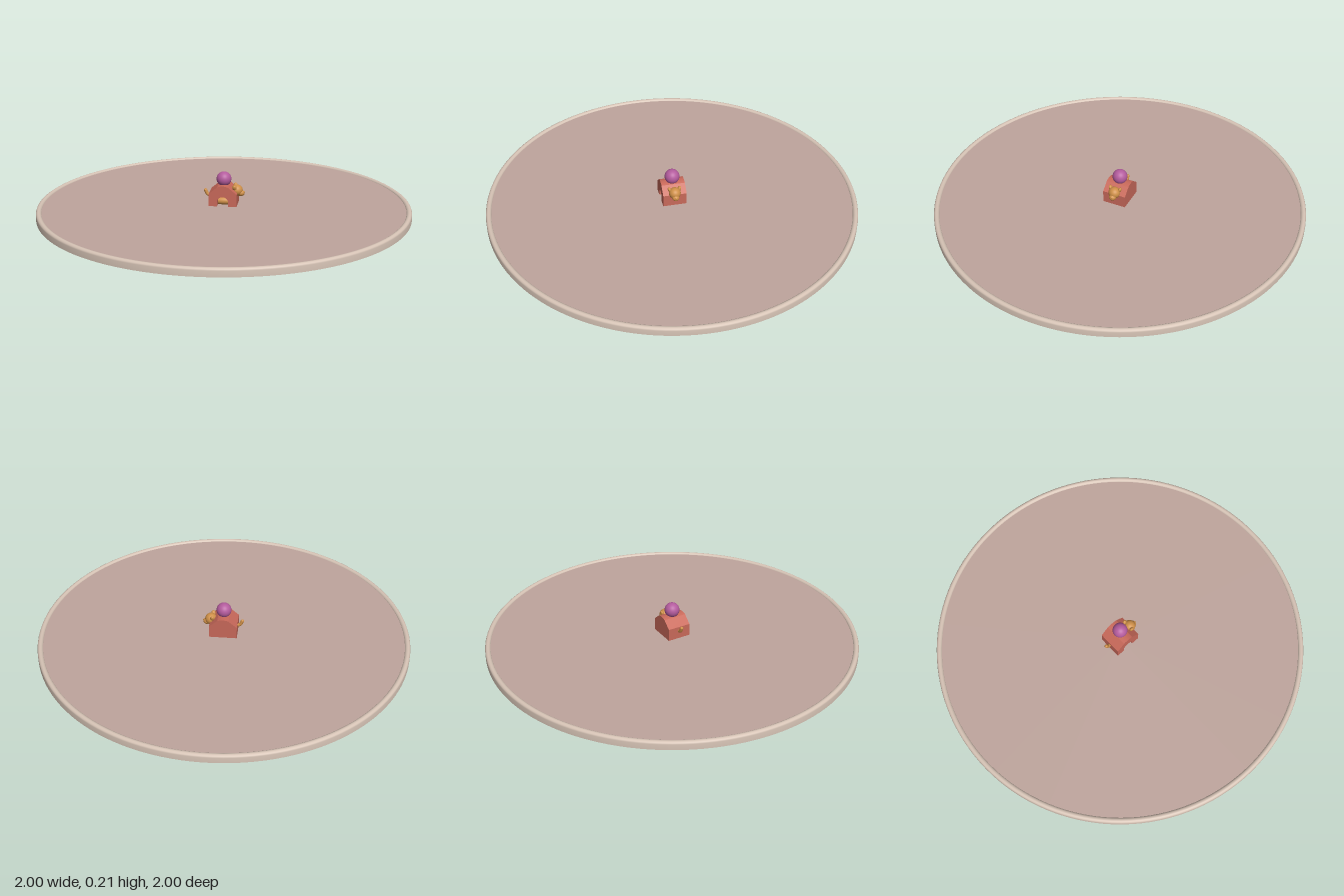
import * as THREE from 'three';

const FLOOR = 0.033;
const mat = (color, opts = {}) => {
  const m = new THREE.MeshStandardMaterial({ color });
  return Object.assign(m, opts);
};

function add(parent, name, geometry, material, pos = [0, 0, 0]) {
  const mesh = new THREE.Mesh(geometry, material);
  mesh.name = name;
  mesh.position.set(...pos);
  parent.add(mesh);
  return mesh;
}

// Ellipsoid with the given half sizes
const blob = (rx, ry, rz) => new THREE.SphereGeometry(1, 28, 18).scale(rx, ry, rz);

// Gabled outline with a softened ridge; optionally with an arched doorway
function houseShape(withDoor) {
  const s = new THREE.Shape();
  s.moveTo(-0.075, FLOOR);
  if (withDoor) {
    s.lineTo(-0.03, FLOOR);
    s.lineTo(-0.03, 0.055);
    s.absarc(0, 0.055, 0.03, Math.PI, 0, true);
    s.lineTo(0.03, FLOOR);
  }
  s.lineTo(0.075, FLOOR);
  s.lineTo(0.075, 0.1);
  s.lineTo(0.03, 0.138);
  s.quadraticCurveTo(0, 0.15, -0.03, 0.138);
  s.lineTo(-0.075, 0.1);
  s.closePath();
  return s;
}

function slab(shape, depth, z) {
  const g = new THREE.ExtrudeGeometry(shape, { depth, bevelEnabled: false, curveSegments: 16 });
  return g.translate(0, 0, z);
}

export function createModel() {
  const model = new THREE.Group();
  const rimMat = mat(0xd6c3b5);
  const floorMat = mat(0xbfa59d);
  const houseMat = mat(0xc9695a);
  const furMat = mat(0xcf9048);
  const ballMat = mat(0xb45c9e);

  // Round base with a raised, rounded rim
  const rim = [
    [0.97, 0], [1, 0], [1, 0], [1, 0.03], [0.997, 0.037], [0.991, 0.041],
    [0.985, 0.042], [0.979, 0.041], [0.973, 0.037], [0.97, 0.031], [0.97, 0.02],
  ].map(([x, y]) => new THREE.Vector2(x, y));
  add(model, 'rim', new THREE.LatheGeometry(rim, 128), rimMat);
  add(model, 'floor', new THREE.CylinderGeometry(0.972, 0.972, FLOOR, 128), floorMat, [0, FLOOR / 2, 0]);

  // Small house: tunnel with an arched doorway, closed by a back wall
  const house = new THREE.Group();
  house.name = 'house';
  model.add(house);
  add(house, 'houseShell', slab(houseShape(true), 0.113, -0.049), houseMat);
  add(house, 'backWall', slab(houseShape(false), 0.015, -0.064), houseMat);

  // Animal lying through the house, head on one side and tail on the other
  const animal = new THREE.Group();
  animal.name = 'animal';
  model.add(animal);
  add(animal, 'body', blob(0.07, 0.025, 0.032), furMat, [0, 0.05, 0]);
  add(animal, 'head', blob(0.032, 0.031, 0.032), furMat, [0.07, 0.109, 0]);
  add(animal, 'muzzle', blob(0.022, 0.018, 0.02), furMat, [0.09, 0.094, 0]);
  add(animal, 'nose', blob(0.006, 0.005, 0.007), furMat, [0.107, 0.1, 0]);
  for (const side of [-1, 1]) {
    const ear = add(animal, side > 0 ? 'frontEar' : 'backEar', blob(0.012, 0.016, 0.009), furMat,
      [0.06, 0.127, side * 0.026]);
    ear.rotation.x = side * 0.4;
  }
  const tailCurve = new THREE.CatmullRomCurve3([
    new THREE.Vector3(-0.07, 0.075, 0),
    new THREE.Vector3(-0.088, 0.082, 0),
    new THREE.Vector3(-0.1, 0.104, 0),
  ]);
  add(animal, 'tail', new THREE.TubeGeometry(tailCurve, 14, 0.009, 14), furMat);
  add(animal, 'tailTip', blob(0.009, 0.009, 0.009), furMat, [-0.1, 0.104, 0]);

  // Ball resting on the ridge
  add(model, 'ball', new THREE.SphereGeometry(0.04, 36, 24), ballMat, [0, 0.17, 0]);

  return model;
}
